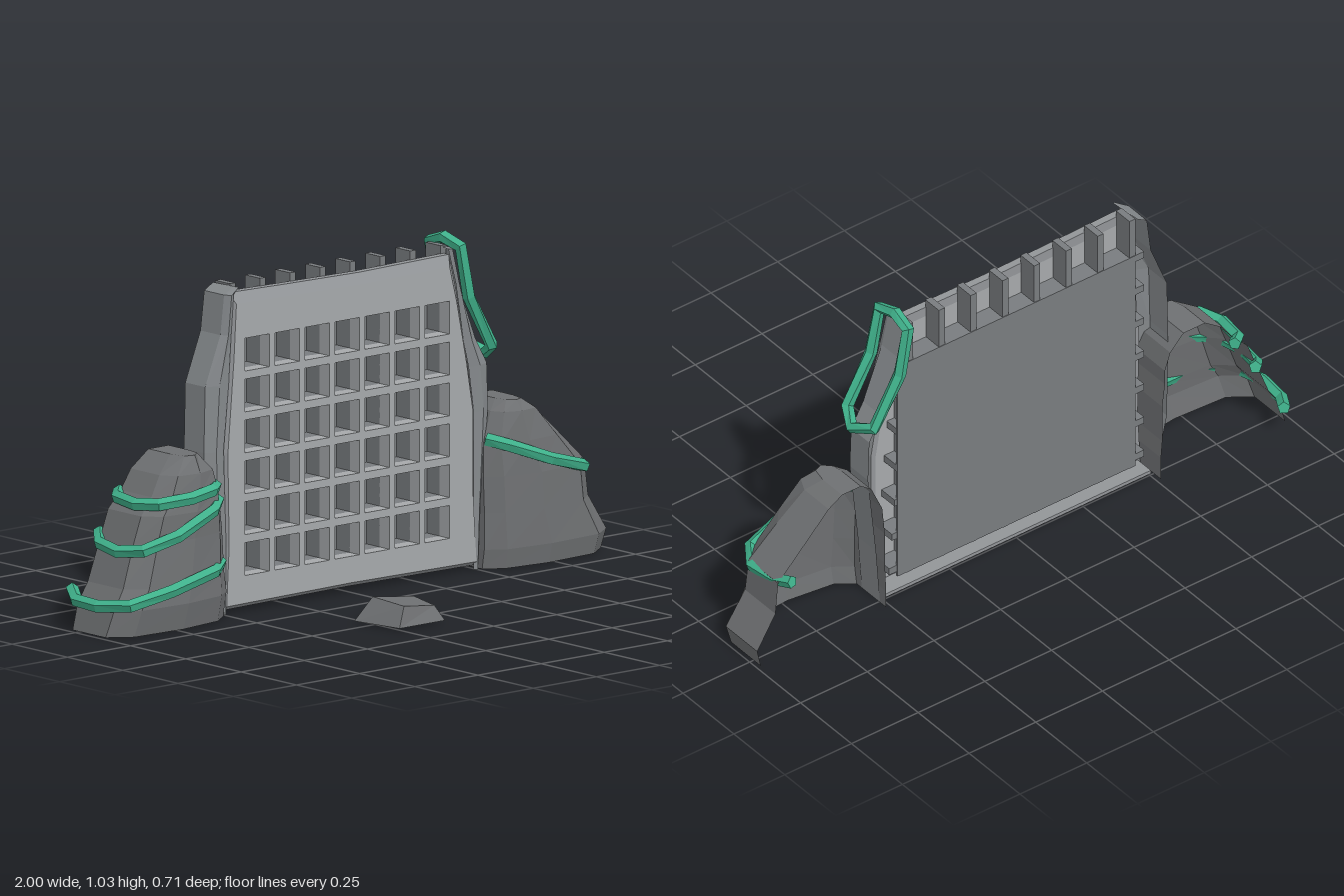
import * as THREE from 'three';

const paint = (color) => new THREE.MeshStandardMaterial({ color, flatShading: true, side: THREE.DoubleSide });
const faceMat = paint(0xa6a9ab);
const rimMat = paint(0x929598);
const pillarMat = paint(0x85898c);
const latticeMat = paint(0x797c7f);
const rockMat = paint(0x6e7072);
const vineMat = paint(0x3fb08a);

// Skin a stack of equal-length rings of [x, y, z]
function loft(rings, { closed = false, capEnd = false, capStart = false } = {}) {
  const n = rings[0].length;
  const index = [];
  for (let r = 0; r < rings.length - 1; r++) {
    for (let i = 0; i < (closed ? n : n - 1); i++) {
      const a = r * n + i, b = r * n + (i + 1) % n;
      index.push(a, b, b + n, a, b + n, a + n);
    }
  }
  const last = (rings.length - 1) * n;
  for (let i = 1; i < n - 1; i++) {
    if (capEnd) index.push(last, last + i, last + i + 1);
    if (capStart) index.push(0, i + 1, i);
  }
  const g = new THREE.BufferGeometry();
  g.setAttribute('position', new THREE.Float32BufferAttribute(rings.flat(2), 3));
  g.setIndex(index);
  const flat = g.toNonIndexed();
  flat.computeVertexNormals();
  return flat;
}

// Mirror a ring to the other side, keeping its winding
const onSide = (ring, side) => {
  const out = ring.map(([x, y, z]) => [x * side, y, z]);
  return side < 0 ? out.reverse() : out;
};

// Five-sided strand with straight runs and mitred corners
function strand(points, up, isLoop = false) {
  const p = points.map((q) => new THREE.Vector3(...q));
  const n = p.length;
  const pick = (i) => (isLoop ? p[(i + n) % n] : p[Math.min(Math.max(i, 0), n - 1)]);
  const rings = p.map((c, i) => {
    const before = c.clone().sub(pick(i - 1)).normalize();
    const after = pick(i + 1).clone().sub(c).normalize();
    const tangent = before.add(after).normalize();
    const u = up.clone().addScaledVector(tangent, -up.dot(tangent)).normalize();
    const v = tangent.clone().cross(u);
    return Array.from({ length: 5 }, (_, k) => {
      const a = (k / 5) * Math.PI * 2;
      return c.clone().addScaledVector(u, 0.02 * Math.cos(a)).addScaledVector(v, 0.02 * Math.sin(a)).toArray();
    });
  });
  if (isLoop) rings.push(rings[0]);
  return loft(rings, { closed: true, capStart: !isLoop, capEnd: !isLoop });
}

export function createModel() {
  const model = new THREE.Group();
  const add = (name, geometry, material, parent = model) => {
    const mesh = new THREE.Mesh(geometry, material);
    mesh.name = name;
    parent.add(mesh);
    return mesh;
  };

  // Worn stone frame with a bevelled rim
  const outline = [
    [-0.51, 0.01], [0, 0.015], [0.515, 0.01], [0.5, 0.25], [0.5, 0.5], [0.475, 0.65],
    [0.435, 0.85], [0.405, 0.97], [0.05, 0.965], [-0.25, 0.97], [-0.47, 0.975],
    [-0.48, 0.8], [-0.505, 0.5], [-0.5, 0.2],
  ];
  const inset = outline.map(([x, y]) => [x * 0.965, (y - 0.3) * 0.95 + 0.3]);
  const at = (points, z) => points.map(([x, y]) => [x, y, z]);
  add('frameRim', loft([at(inset, -0.19), at(outline, -0.19), at(outline, -0.165), at(inset, -0.145)], { closed: true }), rimMat);

  const colX = (i) => -0.372 + 0.119 * i;
  const rowY = (j) => 0.16 + 0.1245 * j;
  const face = new THREE.Shape(inset.map(([x, y]) => new THREE.Vector2(x, y)));
  for (let i = 0; i < 7; i++) {
    for (let j = 0; j < 6; j++) {
      const x = colX(i), y = rowY(j), w = 0.0485, h = 0.05;
      face.holes.push(new THREE.Path([
        new THREE.Vector2(x - w, y - h), new THREE.Vector2(x - w, y + h),
        new THREE.Vector2(x + w, y + h), new THREE.Vector2(x + w, y - h),
      ]));
    }
  }
  const faceGeo = new THREE.ExtrudeGeometry(face, { depth: 0.045, bevelEnabled: false });
  faceGeo.translate(0, 0, -0.19);
  add('windowFrame', faceGeo, faceMat);

  // Lattice behind the windows; upright bars poke out above the frame
  const lattice = new THREE.Group();
  lattice.name = 'lattice';
  model.add(lattice);
  const box = (name, material, x, y, z, w, h, d) =>
    add(name, new THREE.BoxGeometry(w, h, d), material, lattice).position.set(x, y, z);
  for (let i = 0; i <= 7; i++) {
    box('uprightBar', latticeMat, colX(i) - 0.0595, 0.53, -0.2205, 0.022, 0.93, 0.067);
  }
  for (let j = 0; j <= 6; j++) {
    const right = 0.48 - 0.01 * j, left = -0.475;
    box('crossBar', latticeMat, (left + right) / 2, rowY(j) - 0.062, -0.2205, right - left, 0.024, 0.067);
  }
  box('backPanel', latticeMat, 0.005, 0.463, -0.252, 0.89, 0.79, 0.008);
  box('bottomLedge', rimMat, 0, 0.016, -0.22, 1.0, 0.012, 0.07);

  // Jagged pillars at both ends of the wall: [y, front edge x, outer x]
  const pillars = {
    1: [[0, 0.49, 0.515], [0.2, 0.49, 0.53], [0.48, 0.49, 0.56], [0.62, 0.47, 0.555],
      [0.7, 0.45, 0.51], [0.88, 0.42, 0.44], [0.99, 0.39, 0.415]],
    '-1': [[0, 0.49, 0.515], [0.2, 0.49, 0.56], [0.5, 0.5, 0.565], [0.7, 0.48, 0.56],
      [0.85, 0.47, 0.5], [0.97, 0.46, 0.485], [0.99, 0.44, 0.45]],
  };
  for (const side of [1, -1]) {
    const rings = pillars[side].map(([y, xi, xo]) =>
      onSide([[xi, y, -0.15], [(xi + xo) / 2, y, -0.145], [xo, y, -0.165], [xo, y, -0.255]], side));
    add(side > 0 ? 'leftPillar' : 'rightPillar', loft(rings, { capEnd: true }), pillarMat);
  }

  // Open-backed boulders: [y, inner x, outer x, front z]
  const boulders = {
    1: [[0, 0.515, 0.985, -0.08], [0.06, 0.515, 0.998, -0.07], [0.17, 0.52, 0.93, -0.075],
      [0.28, 0.52, 0.92, -0.08], [0.38, 0.53, 0.82, -0.09], [0.47, 0.57, 0.73, -0.105],
      [0.5, 0.61, 0.68, -0.13]],
    '-1': [[0, 0.515, 0.98, -0.075], [0.08, 0.515, 0.96, -0.06], [0.14, 0.52, 0.92, -0.065],
      [0.27, 0.52, 0.87, -0.075], [0.35, 0.53, 0.84, -0.075], [0.4, 0.53, 0.79, -0.085],
      [0.46, 0.55, 0.75, -0.095], [0.51, 0.6, 0.68, -0.125]],
  };
  for (const side of [1, -1]) {
    const rings = boulders[side].map(([y, xi, xo, zf]) => {
      const w = xo - xi;
      return onSide([
        [xi, y, -0.285], [xi, y, zf - 0.06], [xi + w * 0.12, y, zf - 0.02], [xi + w * 0.45, y, zf],
        [xi + w * 0.85, y, zf - 0.01], [xo, y, zf - 0.06], [xo, y, -0.285],
      ], side);
    });
    add(side > 0 ? 'leftBoulder' : 'rightBoulder', loft(rings, { capEnd: true }), rockMat);
  }

  // Vines wrapped round the boulders and the upper corner
  const up = new THREE.Vector3(0, 1, 0);
  add('leftBoulderVine', strand([
    [0.54, 0.39, -0.15], [0.58, 0.375, -0.095], [0.72, 0.32, -0.065], [0.87, 0.275, -0.085],
    [0.915, 0.265, -0.15], [0.905, 0.27, -0.25], [0.89, 0.29, -0.315],
  ], up), vineMat);
  add('rightLowerVine', strand([
    [-0.53, 0.17, -0.13], [-0.6, 0.16, -0.075], [-0.8, 0.13, -0.045], [-0.94, 0.1, -0.07],
    [-0.98, 0.09, -0.17], [-0.97, 0.09, -0.28], [-0.93, 0.11, -0.345],
  ], up), vineMat);
  add('rightMiddleVine', strand([
    [-0.54, 0.36, -0.13], [-0.6, 0.345, -0.08], [-0.76, 0.29, -0.06], [-0.87, 0.255, -0.09],
    [-0.9, 0.245, -0.17], [-0.885, 0.255, -0.27], [-0.85, 0.28, -0.31],
  ], up), vineMat);
  add('rightUpperVine', strand([
    [-0.55, 0.405, -0.13], [-0.6, 0.405, -0.085], [-0.7, 0.395, -0.07], [-0.8, 0.385, -0.1],
    [-0.83, 0.38, -0.17], [-0.815, 0.385, -0.27], [-0.78, 0.395, -0.3],
  ], up), vineMat);
  add('cornerVine', strand([
    [0.425, 0.995, -0.132], [0.42, 1.015, -0.205], [0.425, 0.995, -0.272], [0.455, 0.84, -0.272],
    [0.545, 0.675, -0.265], [0.57, 0.645, -0.19], [0.545, 0.68, -0.132], [0.455, 0.84, -0.13],
  ], new THREE.Vector3(1, 0, 0), true), vineMat);

  // Loose chunk on the ground in front
  add('looseStone', loft([
    [[-0.28, 0.005, 0.19], [-0.25, 0.005, 0.36], [-0.07, 0.005, 0.36], [-0.05, 0.005, 0.2]],
    [[-0.225, 0.075, 0.21], [-0.215, 0.065, 0.34], [-0.09, 0.05, 0.335], [-0.065, 0.055, 0.215]],
  ], { closed: true, capEnd: true, capStart: true }), rockMat);

  return model;
}
